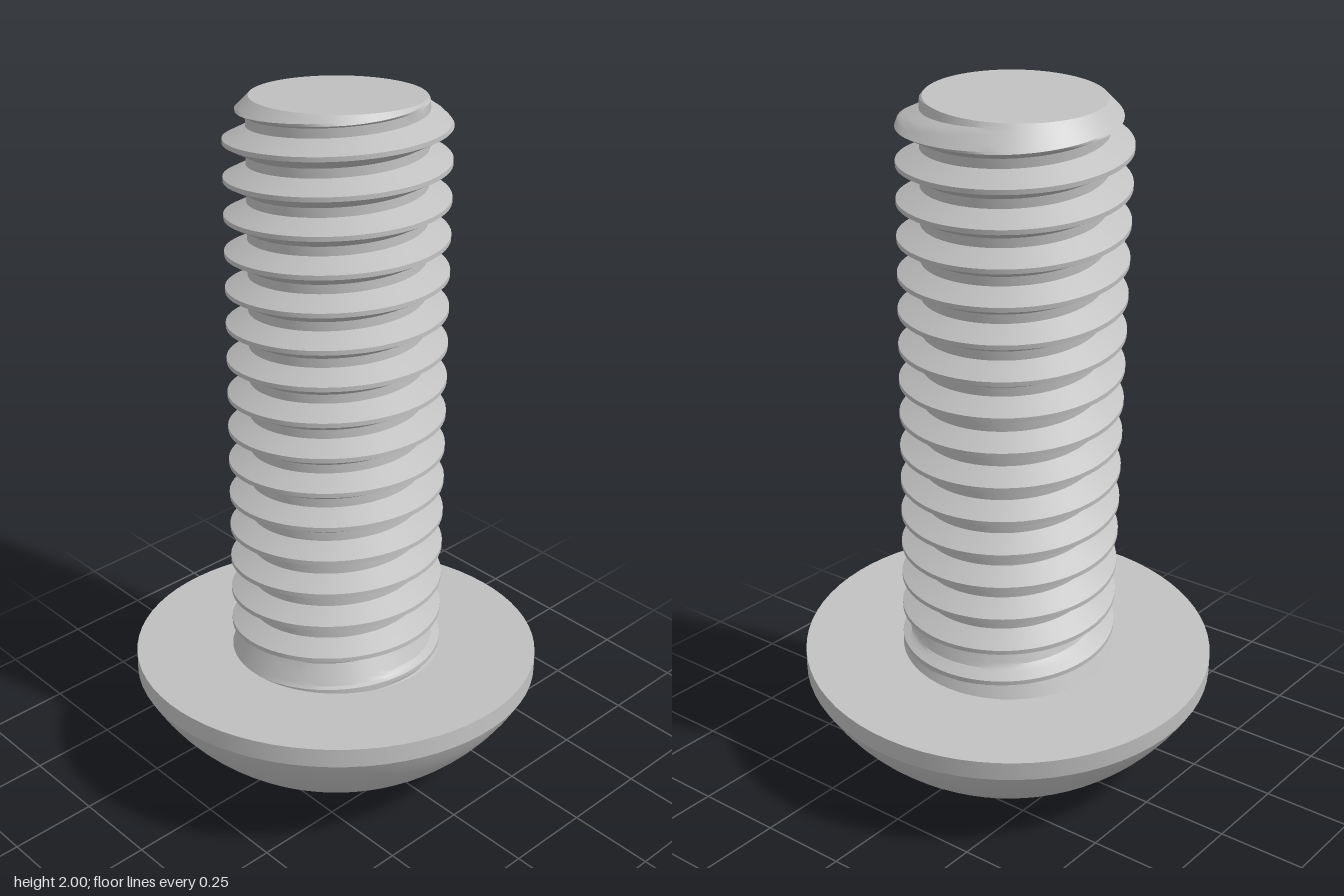
import * as THREE from 'three';
import { toCreasedNormals } from 'three/addons/utils/BufferGeometryUtils.js';

const SEGMENTS = 72;
const HEAD_HEIGHT = 0.335, SHANK_LENGTH = 1.625;
const MAJOR = 0.305, MINOR = 0.243, PITCH = 0.1017;

// Surface around the y axis: point(row, angle) returns [radius, height]
function sweepAround(rows, point) {
  const positions = [], index = [];
  for (let i = 0; i < rows; i++) {
    for (let j = 0; j <= SEGMENTS; j++) {
      const a = (j / SEGMENTS) * Math.PI * 2;
      const [r, h] = point(i, a);
      positions.push(r * Math.cos(a), h, -r * Math.sin(a));
    }
  }
  const at = (n) => new THREE.Vector3().fromArray(positions, n * 3);
  const addFace = (a, b, c) => {
    const area = at(b).sub(at(a)).cross(at(c).sub(at(a))).length();
    if (area > 1e-9) index.push(a, b, c);
  };
  for (let i = 0; i < rows - 1; i++) {
    for (let j = 0; j < SEGMENTS; j++) {
      const a = i * (SEGMENTS + 1) + j, c = a + SEGMENTS + 1;
      addFace(a, a + 1, c);
      addFace(a + 1, c + 1, c);
    }
  }
  const g = new THREE.BufferGeometry();
  g.setAttribute('position', new THREE.Float32BufferAttribute(positions, 3));
  g.setIndex(index);
  return toCreasedNormals(g, 0.45);
}

// Right-hand helical thread with a chamfered tip and a conical run-out at the head
function threadGeometry() {
  const steps = [-0.0625, 0.0625, 0.12, 0.18, 0.24, 0.31, 0.375, 0.625, 0.69, 0.76, 0.82, 0.88];
  const crest = 1.569 % PITCH;
  const turns = Math.ceil(SHANK_LENGTH / PITCH) + 3;
  return sweepAround(turns * steps.length, (i, a) => {
    const turn = Math.floor(i / steps.length) - 2;
    const raw = crest + PITCH * (turn + steps[i % steps.length] + a / (Math.PI * 2));
    const h = THREE.MathUtils.clamp(raw, 0, SHANK_LENGTH);
    const phase = (h - crest) / PITCH - a / (Math.PI * 2);
    const fromCrest = Math.abs(phase - Math.round(phase));
    const t = THREE.MathUtils.clamp((fromCrest - 0.0625) / 0.3125, 0, 1);
    const thread = MAJOR - (MAJOR - MINOR) * t;
    const runOut = MAJOR - 0.5 * h;
    const chamfer = 0.235 + SHANK_LENGTH - h;
    return [Math.min(Math.max(thread, runOut), chamfer), h];
  });
}

// Hexagonal recess: floor, six walls and a countersunk lip
function socketGeometry() {
  const lip = 0.237, apothem = 0.205, depth = 0.155;
  return sweepAround(4, (i, a) => {
    const sector = Math.PI / 3;
    const offset = a + Math.PI / 4 + sector / 2; // flats face the diagonal
    const local = offset - Math.floor(offset / sector) * sector - sector / 2;
    const hex = Math.min(apothem / Math.cos(local), lip);
    return [
      [0, depth - HEAD_HEIGHT],
      [hex, depth - HEAD_HEIGHT],
      [hex, lip - hex - HEAD_HEIGHT],
      [lip, -HEAD_HEIGHT],
    ][i];
  });
}

// Domed head with a short straight rim and flat bearing face
function headGeometry() {
  const dome = new THREE.QuadraticBezierCurve(
    new THREE.Vector2(0.28, -HEAD_HEIGHT),
    new THREE.Vector2(0.485, -0.245),
    new THREE.Vector2(0.5875, -0.055),
  ).getPoints(14);
  const profile = [
    new THREE.Vector2(0.237, -HEAD_HEIGHT),
    ...dome,
    new THREE.Vector2(0.5875, 0),
    new THREE.Vector2(0.28, 0),
  ];
  return toCreasedNormals(new THREE.LatheGeometry(profile, SEGMENTS), 0.3);
}

export function createModel() {
  const steel = new THREE.MeshStandardMaterial({ color: 0xc0c0c0 });
  steel.name = 'steel grey';

  const screw = new THREE.Group();
  screw.name = 'buttonHeadScrew';
  const add = (name, geometry) => {
    const mesh = new THREE.Mesh(geometry, steel);
    mesh.name = name;
    screw.add(mesh);
    return mesh;
  };

  add('head', headGeometry());
  add('hexSocket', socketGeometry());
  add('threadedShank', threadGeometry());

  // Flat end of the shank
  const tip = add('shankTip', new THREE.CircleGeometry(0.235, SEGMENTS));
  tip.rotation.x = -Math.PI / 2;
  tip.position.y = SHANK_LENGTH;

  // The whole screw leans slightly to one side
  const axis = new THREE.Vector3(0.068, 1, -0.068).normalize();
  screw.quaternion.setFromUnitVectors(new THREE.Vector3(0, 1, 0), axis);
  screw.position.y = 0.36;

  const model = new THREE.Group();
  model.name = 'model';
  model.add(screw);
  return model;
}
